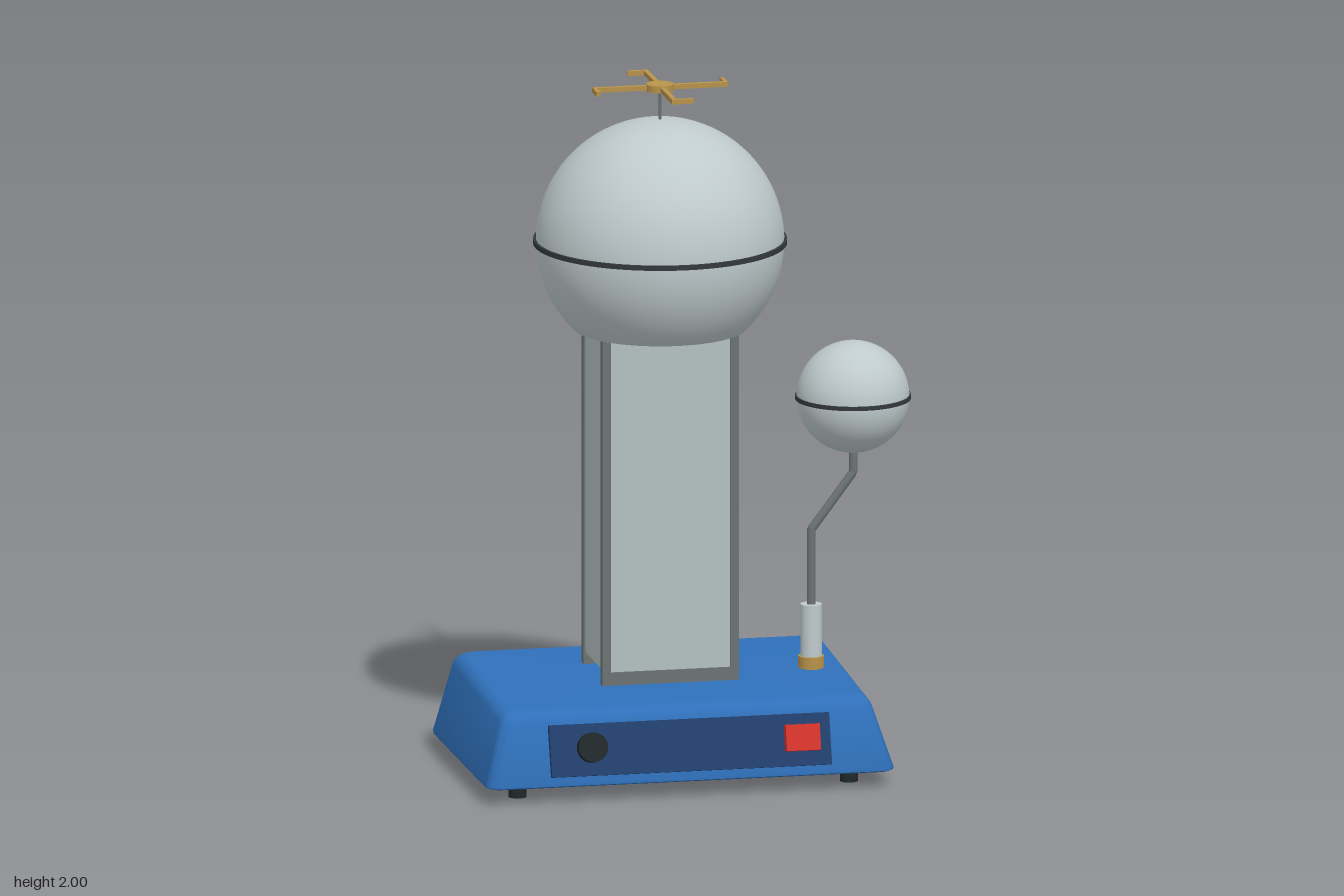
import * as THREE from 'three';
import { toCreasedNormals } from 'three/addons/utils/BufferGeometryUtils.js';

const mat = (name, color, side = THREE.FrontSide) => {
  const m = new THREE.MeshStandardMaterial({ color, side });
  m.name = name;
  return m;
};

export function createModel() {
  const blue = mat('blue housing', 0x2f70ba);
  const navy = mat('navy panel', 0x213f6e);
  const silver = mat('silver', 0xbfcacc, THREE.DoubleSide);
  const pane = mat('pale column pane', 0xb4c1c1);
  const steel = mat('grey steel', 0x6c7373);
  const dark = mat('dark band', 0x34393d);
  const black = mat('black rubber', 0x20282a);
  const red = mat('red', 0xd6342c);
  const brass = mat('brass', 0xb8934a);

  const model = new THREE.Group();
  model.name = 'electrostaticGenerator';

  const add = (parent, name, geometry, material, x = 0, y = 0, z = 0) => {
    const mesh = new THREE.Mesh(geometry, material);
    mesh.name = name;
    mesh.position.set(x, y, z);
    parent.add(mesh);
    return mesh;
  };
  const group = (name, x = 0, y = 0, z = 0) => {
    const g = new THREE.Group();
    g.name = name;
    g.position.set(x, y, z);
    model.add(g);
    return g;
  };
  const box = (w, h, d) => new THREE.BoxGeometry(w, h, d);
  const cyl = (r, h, n = 32) => new THREE.CylinderGeometry(r, r, h, n);

  add(model, 'base', baseGeometry(), blue);

  // Feet
  for (const x of [-0.55, 0.42])
    for (const z of [-0.293, 0.272]) add(model, 'foot', cyl(0.026, 0.06, 24), black, x, 0.03, z);

  // Control panel lying on the sloped front
  const controls = group('controlPanel', 0, 0.148, 0.362);
  controls.rotation.x = -0.28;
  add(controls, 'panelPlate', box(0.82, 0.15, 0.022), navy, -0.065);
  const knob = add(controls, 'knob', cyl(0.043, 0.03), black, -0.355, 0.005, 0.025);
  knob.rotation.x = Math.PI / 2;
  add(controls, 'powerSwitch', box(0.1, 0.076, 0.03), red, 0.26, 0.005, 0.024);

  // Column: corner posts, panes and bottom rails
  const column = group('column', -0.065, 0, -0.04);
  const top = 1.36;
  for (const s of [-1, 1]) {
    for (const t of [-1, 1])
      add(column, 'cornerPost', box(0.025, top - 0.272, 0.025), steel, s * 0.1875, (top + 0.272) / 2, t * 0.1275);
    add(column, 'widePane', box(0.35, top - 0.31, 0.008), pane, 0, (top + 0.31) / 2, s * 0.131);
    add(column, 'sidePane', box(0.008, top - 0.315, 0.23), pane, s * 0.191, (top + 0.315) / 2, 0);
    add(column, 'bottomRail', box(0.35, 0.038, 0.02), steel, 0, 0.291, s * 0.13);
  }

  // Large dome, open underneath for the column
  const dome = group('dome', -0.065, 1.54, -0.043);
  add(dome, 'domeShell',
    new THREE.SphereGeometry(0.356, 64, 40, 0, Math.PI * 2, 0, Math.PI - Math.acos(0.255 / 0.356)), silver);
  add(dome, 'domeBand', cyl(0.364, 0.014, 64), dark);
  add(dome, 'spindle', cyl(0.0045, 0.1, 12), steel, 0, 0.4, 0);

  // Pinwheel with four hooked arms
  const rotor = group('pinwheel', -0.065, 1.99, -0.043);
  add(rotor, 'hub', cyl(0.04, 0.02), brass);
  for (let i = 0; i < 4; i++) {
    const arm = new THREE.Group();
    arm.name = 'arm';
    arm.rotation.y = i * Math.PI / 2;
    add(arm, 'armBar', box(0.198, 0.014, 0.014), brass, 0.099);
    add(arm, 'armTip', box(0.012, 0.014, 0.055), brass, 0.192, 0, -0.0275);
    rotor.add(arm);
  }

  // Discharge ball on a bent rod
  const ball = group('dischargeBall', 0.495, 1.06, -0.02);
  add(ball, 'ballShell', new THREE.SphereGeometry(0.162, 48, 32), silver);
  add(ball, 'ballBand', cyl(0.166, 0.012, 48), dark);

  const stand = group('dischargeStand', 0, 0, -0.018);
  const path = new THREE.CurvePath();
  const pts = [[0.372, 0.44], [0.372, 0.675], [0.495, 0.838], [0.495, 0.92]]
    .map(([x, y]) => new THREE.Vector3(x, y, 0));
  for (let i = 0; i < 3; i++) path.add(new THREE.LineCurve3(pts[i], pts[i + 1]));
  add(stand, 'bentRod', new THREE.TubeGeometry(path, 60, 0.0125, 16), steel);
  add(stand, 'sleeve', cyl(0.031, 0.16), silver, 0.372, 0.377, 0);
  add(stand, 'collar', cyl(0.037, 0.045), brass, 0.372, 0.283, 0);

  return model;
}

// Tapered housing with rounded edges and a top that rises towards the back
function baseGeometry() {
  const n = 6, r = 0.035;
  const low = [-0.665, 0.537, -0.395, 0.388]; // xMin, xMax, zMin, zMax
  const high = [-0.6, 0.472, -0.368, 0.322];
  const rings = [[0, 0.012], [0.02, 0.003], [0.06, 0]];
  for (let i = 0; i <= 6; i++) {
    const a = i / 6 * Math.PI / 2;
    rings.push([0.86 + 0.14 * Math.sin(a), 0.03 * (1 - Math.cos(a))]);
  }
  const pos = [], index = [], count = 4 * (n + 1);
  for (const [t, inset] of rings) {
    const [x0, x1, z0, z1] = low.map((v, i) => v + (high[i] - v) * t + (i % 2 ? -inset : inset));
    for (let c = 0; c < 4; c++) {
      const cx = c === 0 || c === 3 ? x1 - r : x0 + r;
      const cz = c < 2 ? z1 - r : z0 + r;
      for (let i = 0; i <= n; i++) {
        const a = (c + i / n) * Math.PI / 2;
        const x = cx + r * Math.cos(a), z = cz + r * Math.sin(a);
        pos.push(x, 0.045 + t * (0.2265 - 0.051 * z), z);
      }
    }
  }
  for (let k = 0; k < rings.length - 1; k++)
    for (let i = 0; i < count; i++) {
      const a = k * count + i, b = k * count + (i + 1) % count;
      index.push(a, a + count, b, b, a + count, b + count);
    }
  const last = (rings.length - 1) * count;
  for (let i = 1; i < count - 1; i++) {
    index.push(0, i, i + 1);
    index.push(last, last + i + 1, last + i);
  }
  const g = new THREE.BufferGeometry();
  g.setAttribute('position', new THREE.Float32BufferAttribute(pos, 3));
  g.setIndex(index);
  return toCreasedNormals(g, 0.6);
}
